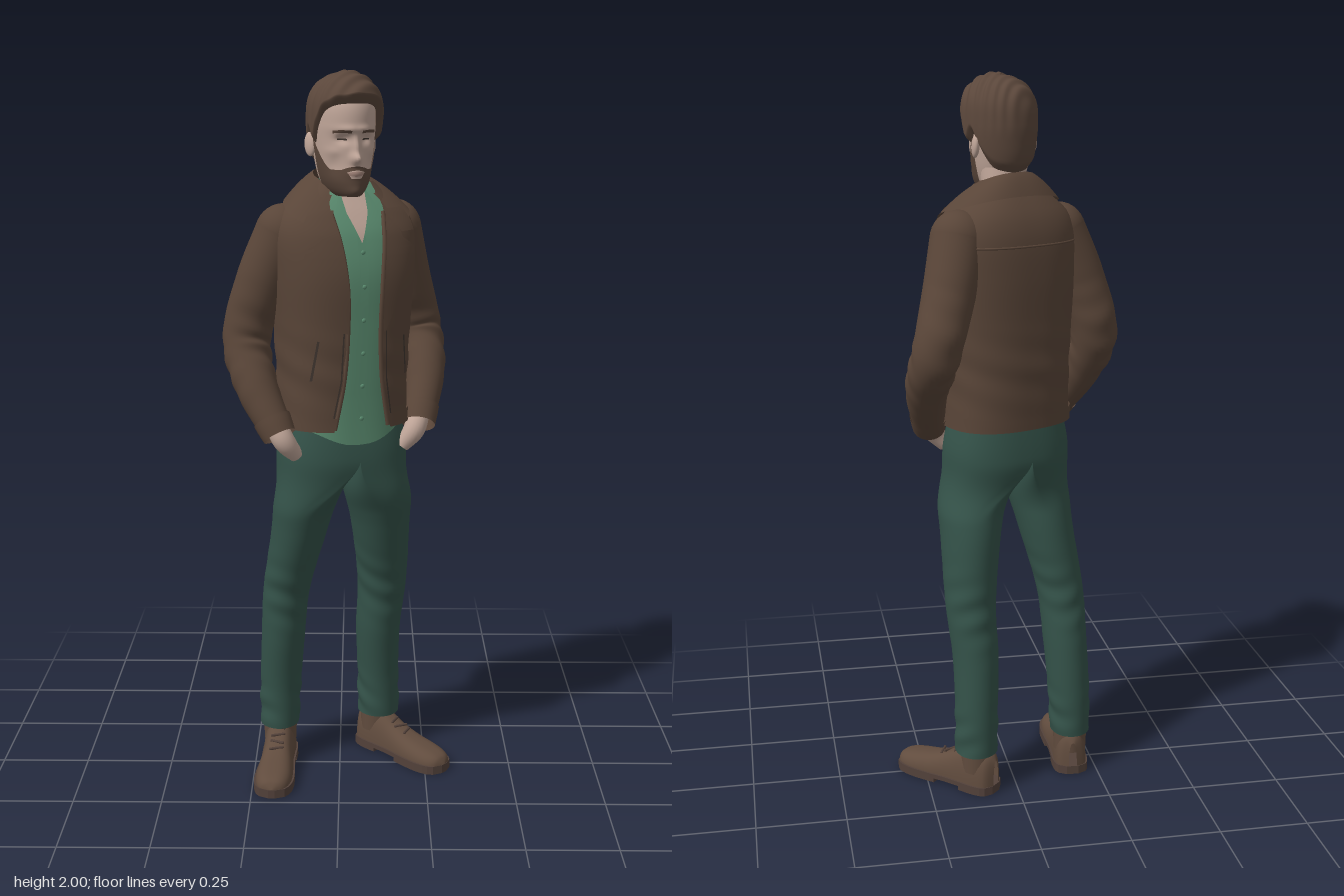
import * as THREE from 'three';
import { mergeVertices } from 'three/addons/utils/BufferGeometryUtils.js';

const paint = (name, color) => Object.assign(
  new THREE.MeshStandardMaterial({ color, side: THREE.DoubleSide }), { name });
const { sin, cos, asin, abs, exp, max, min, sqrt, sign, PI } = Math;

// Smooth interpolation of a table whose first column is the parameter
function sample(rows, t) {
  const n = rows.length;
  let i = 0;
  while (i < n - 2 && t > rows[i + 1][0]) i++;
  const h = rows[i + 1][0] - rows[i][0], s = min(1, max(0, (t - rows[i][0]) / h));
  const slope = (k, c) => {
    const p = rows[max(k - 1, 0)], q = rows[min(k + 1, n - 1)];
    return (q[c] - p[c]) / (q[0] - p[0]);
  };
  const s2 = s * s, s3 = s2 * s;
  return rows[i].map((a, c) => (2 * s3 - 3 * s2 + 1) * a + (3 * s2 - 2 * s3) * rows[i + 1][c]
    + h * ((s3 - 2 * s2 + s) * slope(i, c) + (s3 - s2) * slope(i + 1, c)));
}

// Smooth surface from fn(u, v) -> [x, y, z]
function grid(fn, nu, nv) {
  const pos = [], idx = [];
  for (let j = 0; j <= nv; j++) for (let i = 0; i <= nu; i++) pos.push(...fn(i / nu, j / nv));
  for (let j = 0; j < nv; j++) for (let i = 0; i < nu; i++) {
    const a = j * (nu + 1) + i, b = a + nu + 1;
    idx.push(a, a + 1, b, a + 1, b + 1, b);
  }
  let g = new THREE.BufferGeometry();
  g.setAttribute('position', new THREE.Float32BufferAttribute(pos, 3));
  g.setIndex(idx);
  g = mergeVertices(g, 1e-5);
  g.computeVertexNormals();
  return g;
}

// Round tube along points [x, y, z, radius], with an optional fold rule
function sweep(pts, nu, nv, fold = () => 0) {
  const path = new THREE.CatmullRomCurve3(pts.map(p => new THREE.Vector3(...p)));
  const radii = pts.map((p, i) => [i / (pts.length - 1), p[3]]);
  return grid((u, v) => {
    const T = path.getTangent(v), N = new THREE.Vector3(1, 0, 0);
    N.addScaledVector(T, -N.dot(T)).normalize();
    const B = T.clone().cross(N), r = sample(radii, v)[1] + fold(u * 2 * PI, v);
    return path.getPoint(v).addScaledVector(N, r * cos(u * 2 * PI))
      .addScaledVector(B, r * sin(u * 2 * PI)).toArray();
  }, nu, nv);
}

// Torso and hips: height, half width, front depth, back depth
const TORSO = [[1.03, .168, .138, .125], [1.1, .166, .138, .127], [1.2, .166, .143, .13], [1.35, .174, .15, .132],
  [1.48, .184, .153, .135], [1.58, .186, .133, .13], [1.635, .165, .107, .115], [1.68, .115, .08, .088], [1.715, .07, .06, .06]];
const HIPS = [[.8, .178, .125, .13], [.93, .182, .134, .134], [1, .18, .13, .13], [1.1, .158, .112, .115]];
const OPENING = [[1.06, .075], [1.2, .052], [1.4, .045], [1.55, .058], [1.65, .07], [1.715, .05]];
const BOXY = .8, YAW = .42, TORSO_X = .004, TORSO_Z = .015;
const pow = (t, e) => sign(t) * abs(t) ** e;
function ring(rows, th, y, off = 0, e = BOXY) {
  const [, a, f, b] = sample(rows, y);
  return [(a + off) * pow(sin(th), e), y, pow(cos(th), e) * ((cos(th) > 0 ? f : b) + off)];
}
// Angle at which the torso ring reaches x
const angleAt = (x, y) => asin(pow(x / sample(TORSO, y)[1], 1 / BOXY));
// Thin panel lying on the chest, from rows [y, left edge, right edge]
function panel(rows, off, side = 1) {
  return grid((u, v) => {
    const k = v * (rows.length - 1), i = min(rows.length - 2, k | 0);
    const [y, x0, x1] = rows[i].map((p, c) => p + (rows[i + 1][c] - p) * (k - i));
    return ring(TORSO, side * angleAt(x0 + (x1 - x0) * u, y), y, off);
  }, 8, 6 * (rows.length - 1));
}
// Folded collar from a neck ring down onto the shoulders
function collar(open, topY, rise, lowY, fall, offTop, offLow) {
  return grid((u, v) => {
    const th = open + (2 * PI - 2 * open) * u, k = (1 - cos(th)) / 2;
    const p = ring(TORSO, th, 1.715, offTop), q = ring(TORSO, th, lowY + fall * sqrt(k), offLow);
    p[1] = topY + rise * k;
    return p.map((a, c) => a + (q[c] - a) * v + (c === 1 ? .03 * v * (1 - v) : 0));
  }, 56, 8);
}

// Head: height, half width, front depth, back depth
const HEAD = [[1.68, .024, .085, .02], [1.695, .045, .1, .035], [1.72, .06, .107, .055], [1.75, .069, .106, .075],
  [1.79, .076, .104, .088], [1.83, .081, .105, .094], [1.87, .083, .111, .098], [1.92, .08, .105, .095],
  [1.955, .063, .08, .077], [1.974, .04, .05, .05], [1.983, .018, .022, .022], [1.986, .001, .001, .001]];
const CHIN = 1.688;
function face(th, y, off = 0) {
  const p = ring(HEAD, th, y, 0, 1);
  if (cos(th) > 0) {
    const g = (x0, y0, sx, sy) => exp(-(((abs(p[0]) - x0) / sx) ** 2) - ((y - y0) / sy) ** 2);
    p[2] += .026 * g(0, 1.783, .012, .013) + .014 * g(0, 1.81, .009, .025) - .013 * g(.032, 1.832, .016, .012)
      + .006 * g(.02, 1.857, .03, .009) + .006 * g(0, 1.747, .02, .01) + .005 * g(0, 1.7, .02, .013)
      - .006 * g(.05, 1.765, .014, .02) + .004 * g(.055, 1.8, .016, .012);
  }
  const d = new THREE.Vector3(p[0], p[1] - 1.85, p[2]).normalize();
  return [p[0] + d.x * off, p[1] + d.y * off, p[2] + d.z * off];
}
const faceStrip = (x0, x1, low, high, off) => grid((u, v) => {
  const x = x0 + (x1 - x0) * u, y = low(x) + (high(x) - low(x)) * v;
  return face(asin(x / sample(HEAD, y)[1]), y, off);
}, 12, 4);

// Boot: length position, half width, height
const BOOT = [[-.068, .012, .08], [-.055, .036, .1], [-.02, .046, .112], [.03, .046, .102], [.08, .046, .077],
  [.14, .051, .056], [.2, .052, .044], [.24, .043, .035], [.26, .026, .024], [.267, .004, .008]];

export function createModel() {
  const skin = paint('skin', 0xbfa598), hair = paint('hair', 0x5b473b), leather = paint('jacket leather', 0x594538),
    cotton = paint('shirt cotton', 0x5b8c70), denim = paint('trouser cloth', 0x345249), boot = paint('boot leather', 0x614c3e),
    sole = paint('sole', 0x52413a), metal = paint('zip metal', 0x3e342e), lip = paint('lips', 0xa3857a);
  const model = new THREE.Group();
  const group = (name, x, z, yaw) => {
    const g = new THREE.Group();
    g.name = name; g.position.set(x, 0, z); g.rotation.y = yaw;
    model.add(g);
    return g;
  };
  const add = (parent, name, geo, mat) => {
    const m = new THREE.Mesh(geo, mat);
    m.name = name; parent.add(m);
    return m;
  };
  const ball = (parent, name, mat, p, s) => {
    const m = add(parent, name, new THREE.SphereGeometry(1, 24, 16), mat);
    m.position.set(...p); m.scale.set(...s);
    return m;
  };

  // Torso, turned towards the model's left
  const torso = group('torso', TORSO_X, TORSO_Z, YAW);
  add(torso, 'shirt', grid((u, v) => {
    const th = u * 2 * PI, p = ring(TORSO, th, 1.06 + .655 * v, -.004);
    p[1] -= .045 * max(0, cos(th)) ** 5 * max(0, 1 - v * 8);
    return p;
  }, 64, 40), cotton);
  add(torso, 'shirtPlacket', panel([[1.025, -.012, .012], [1.3, -.012, .012], [1.58, -.012, .012]], .001), cotton);
  for (let i = 0; i < 6; i++) ball(torso, 'shirtButton', cotton, ring(TORSO, 0, 1.09 + i * .09, .002), [.006, .006, .003]);
  add(torso, 'openNeck', panel([[1.565, -.001, .001], [1.64, -.03, .03], [1.71, -.036, .036]], .002), skin);
  add(torso, 'shirtCollar', collar(.3, 1.72, .0, 1.62, .07, -.006, .008), cotton);

  const edge = y => angleAt(sample(OPENING, y)[1], y);
  const shell = (y0, y1, off, nv) => grid((u, v) => {
    const y = y0 + (y1 - y0) * v, e = edge(y), th = e + (2 * PI - 2 * e) * u;
    return ring(TORSO, th, y, off + .002 * sin(y * 60 + 3 * th) * max(0, 1 - abs(y - 1.22) * 7));
  }, 72, nv);
  add(torso, 'jacketBody', shell(1.065, 1.715, .012, 44), leather);
  add(torso, 'jacketHem', shell(1.06, 1.098, .017, 4), leather);
  add(torso, 'jacketCollar', collar(.5, 1.705, .045, 1.575, .115, .004, .022), leather);
  for (const s of [-1, 1]) {
    const line = [1.065, 1.2, 1.33, 1.45, 1.56, 1.64].map(y => [...ring(TORSO, s * edge(y), y, .009), .006]);
    add(torso, 'jacketFrontEdge', sweep(line, 8, 30), leather);
    add(torso, 'lapel', panel([[1.33, .045, .05], [1.43, .044, .092], [1.53, .054, .142], [1.55, .056, .14],
      [1.575, .06, .105], [1.62, .065, .09]], .022, s), leather);
    add(torso, 'collarTip', panel([[1.59, .1, .14], [1.615, .078, .135], [1.65, .062, .115]], .026, s), leather);
    add(torso, 'frontZip', panel([[1.08, .077, .081], [1.2, .058, .062], [1.33, .054, .058]], .0165, s), metal);
    add(torso, 'pocketZip', panel([[1.2, .125, .13], [1.31, .112, .117]], .015, s), metal);
  }
  // Seam across the upper back
  add(torso, 'backYoke', grid((u, v) => ring(TORSO, PI - .95 + 1.9 * u, 1.56 + .006 * v, .012 + .002 * sin(PI * v)), 32, 4), leather);

  // Arms: shoulder, elbow behind the body, hand in the pocket
  const arms = [
    ['left', [[.147, 1.582, -.075, .076], [.178, 1.45, -.118, .072], [.222, 1.29, -.165, .065], [.238, 1.18, -.09, .058], [.22, 1.05, .018, .043]],
      [[.222, 1.075, .0, .03], [.206, 1.03, .032, .03], [.172, .985, .038, .02]]],
    ['right', [[-.15, 1.582, .052, .076], [-.208, 1.45, .05, .072], [-.253, 1.29, .045, .066], [-.225, 1.17, .1, .058], [-.163, 1.05, .16, .043]],
      [[-.172, 1.075, .15, .03], [-.148, 1.03, .162, .03], [-.115, .985, .143, .02]]]];
  for (const [side, arm, hand] of arms) {
    const g = group(side + 'Arm', 0, 0, 0);
    ball(g, 'shoulder', leather, arm[0], [.076, .076, .076]);
    add(g, 'sleeve', sweep(arm, 32, 60, (a, v) =>
      .0035 * sin(v * 55 + 3 * sin(a)) * (.5 + .5 * cos(a * 2 + v * 9)) * exp(-(((v - .55) / .2) ** 2))), leather);
    const [p, q] = [arm[3], arm[4]], mix = k => p.map((c, i) => c + (q[i] - c) * k);
    add(g, 'cuff', sweep([[...mix(.7).slice(0, 3), .052], [...mix(.85).slice(0, 3), .05], [...mix(1.04).slice(0, 3), .046]], 28, 8), leather);
    add(g, 'hand', sweep(hand, 20, 14), skin);
  }

  // Trouser legs: height, centre x, centre z, half width, half depth
  const legs = [
    ['left', 1, [[.12, .115, -.125, .061, .069], [.25, .113, -.12, .061, .073], [.4, .112, -.103, .065, .081], [.55, .122, -.085, .071, .085],
      [.75, .115, -.045, .085, .112], [.88, .105, -.01, .1, .122], [1, .095, .0, .09, .11]], .8],
    ['right', -1, [[.12, -.178, -.04, .057, .069], [.25, -.174, -.037, .06, .072], [.4, -.165, -.02, .063, .08], [.55, -.153, 0, .067, .08],
      [.75, -.112, .032, .08, .105], [.88, -.09, .055, .093, .113], [1, -.085, .055, .085, .1]], -.05]];
  for (const [side, s, rows, yaw] of legs) {
    add(model, side + 'TrouserLeg', grid((u, v) => {
      const y = .12 + .98 * v, a = u * 2 * PI, [, x, z, w, d] = sample(rows, y);
      const f = .0035 * sin(y * 80 + 3 * sin(a + s)) * (.5 + .5 * cos(2 * a + y * 12))
        * (exp(-(((y - .55) / .09) ** 2)) + exp(-(((y - .18) / .07) ** 2)));
      // Above the crotch each leg blends into its half of the hips
      const k = THREE.MathUtils.smoothstep(y, .8, .97), h = ring(HIPS, a, y);
      if (s * sin(a) < 0) h[0] = 0;
      const hx = TORSO_X + h[0] * cos(YAW) + h[2] * sin(YAW), hz = TORSO_Z - h[0] * sin(YAW) + h[2] * cos(YAW);
      const lx = x + (w + f) * sin(a), lz = z + (d + f) * cos(a);
      return [lx + (hx - lx) * k, y, lz + (hz - lz) * k];
    }, 48, 96), denim);

    // Boot pointing along its own +z
    const b = group(side + 'Boot', rows[0][1], rows[0][2], yaw);
    add(b, 'bootUpper', grid((u, v) => {
      const [z, w, h] = sample(BOOT, -.068 + .335 * v), a = u * PI;
      return [w * pow(cos(a), .75), .018 + h * sin(a) ** .85, z];
    }, 28, 48), boot);
    add(b, 'bootShaft', new THREE.CylinderGeometry(.05, .047, .08, 28), boot).position.set(0, .1, -.006);
    const plate = (list, depth, name) => {
      const right = list.map(([z, w]) => new THREE.Vector2(w + .005, z));
      const shape = new THREE.Shape(right.concat(right.map(p => new THREE.Vector2(-p.x, p.y)).reverse()));
      const geo = new THREE.ExtrudeGeometry(shape, { depth, bevelEnabled: false }).rotateX(PI / 2);
      add(b, name, geo, sole).position.y = .025;
    };
    const outline = Array.from({ length: 25 }, (_, i) => sample(BOOT, -.07 + .34 * i / 24));
    plate(outline, .013, 'sole');
    plate(outline.slice(0, 8), .025, 'heel');
    plate(outline.slice(13), .025, 'foreSole');
    for (let i = 0; i < 4; i++) {
      const z = .045 + i * .024, lace = add(b, 'lace', new THREE.CapsuleGeometry(.004, .036, 4, 8), sole);
      lace.position.set(0, .019 + sample(BOOT, z)[2], z);
      lace.rotation.set(0, i % 2 ? .35 : -.35, PI / 2, 'YXZ');
    }
  }

  // Neck and head
  add(model, 'neck', sweep([[.008, 1.6, .0, .055], [.012, 1.68, .02, .053], [.016, 1.77, .04, .055]], 32, 14), skin);
  const head = group('head', .008, .055, .35);
  add(head, 'face', grid((u, v) => {
    const p = face(u * 2 * PI, CHIN + (1.986 - CHIN) * sin(max(0, (v - .04) / .96) * PI / 2)), s = min(1, v / .04);
    return [p[0] * s, p[1], p[2] * s];
  }, 96, 100), skin);
  add(head, 'beard', grid((u, v) => {
    const th = (u * 2 - 1) * 1.5, t = abs(th);
    const top = 1.735 + .022 * min(1, max(0, (t - .2) / .2)) + .085 * max(0, (t - .85) / .65) ** 1.6;
    const p = face(th, CHIN + (top - CHIN) * max(0, (v - .1) / .9), .004), s = min(1, v / .1);
    return [p[0] * s, p[1], p[2] * s];
  }, 60, 30), hair);
  add(head, 'moustache', faceStrip(-.034, .034, x => 1.756 - 9 * x * x, x => 1.766 - 7 * x * x, .004), hair);
  add(head, 'lips', faceStrip(-.022, .022, x => 1.739 + 8 * x * x, x => 1.752 - 8 * x * x, .002), lip);
  for (const s of [-1, 1]) {
    const line = (y, h) => x => y + h - 4 * (abs(x) - .035) ** 2;
    add(head, 'eyebrow', faceStrip(s > 0 ? .014 : -.055, s > 0 ? .055 : -.014, line(1.849, 0), line(1.849, .007), .004), hair);
    add(head, 'eye', faceStrip(s > 0 ? .021 : -.043, s > 0 ? .043 : -.021, () => 1.83, line(1.8345, 0), .002), metal);
    ball(head, 'ear', skin, [s * .086, 1.815, -.012], [.011, .032, .02]).rotation.set(-.15, s * -.35, 0);
  }

  // Swept hair with strand ridges: hairline heights by angle from the front
  const HAIRLINE = [[0, 1.922], [.6, 1.918], [1, 1.9], [1.25, 1.86], [1.4, 1.82], [1.6, 1.85], [1.9, 1.8], [2.3, 1.76], [PI, 1.745]];
  add(head, 'hair', grid((u, v) => {
    const th = (u * 2 - 1) * PI, y0 = sample(HAIRLINE, abs(th))[1];
    const y = y0 + (1.986 - y0) * sin(v * PI / 2), p = face(th, y);
    const ridge = .0028 * sin((p[2] + .5 * p[0] + 3 * p[0] * p[0]) * 210) * min(1, max(0, (y - 1.84) * 10)) * (1 - v ** 8);
    const quiff = .018 * max(0, cos(th - .25)) * cos(v * PI / 2) ** .6;
    return face(th, y, (.012 + quiff + ridge) * min(1, v / .08 + .05));
  }, 120, 60), hair);
  return model;
}
